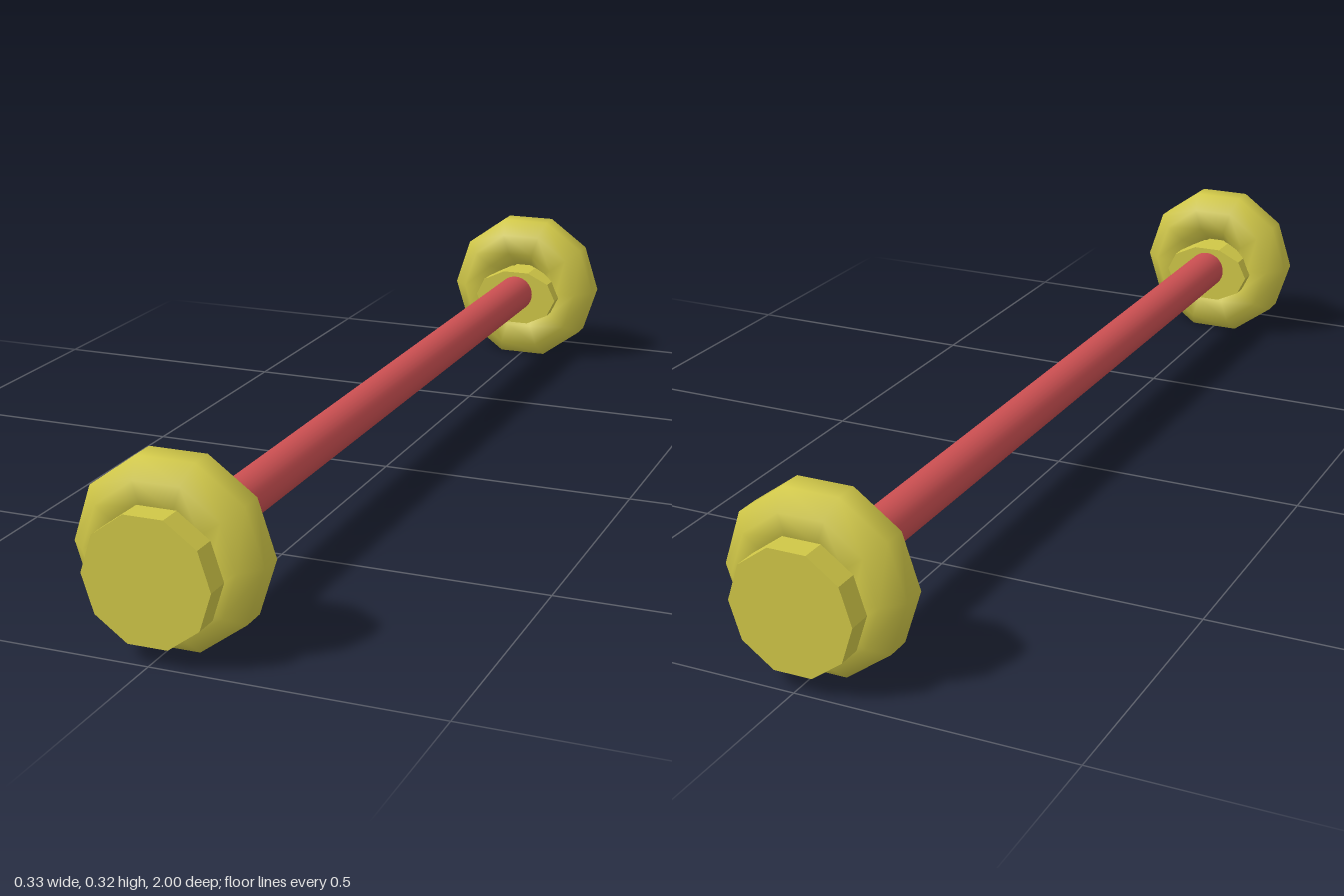
import * as THREE from 'three';

const SIDES = 10;
const AXLE_Y = 0.16;

// Faceted cylinder lying along z, from z0 to z1, with an elliptical section and a corner on +x
function disc(name, material, rx, ry, y, z0, z1) {
  const geometry = new THREE.CylinderGeometry(1, 1, z1 - z0, SIDES, 1, false, Math.PI / 2);
  geometry.rotateX(Math.PI / 2);
  geometry.scale(rx, ry, 1);
  const mesh = new THREE.Mesh(geometry, material);
  mesh.name = name;
  mesh.position.set(0, y, (z0 + z1) / 2);
  return mesh;
}

// Ten-sided ring with an octagonal section, axis along z
function ring(material) {
  const radius = 0.112, apothem = 0.055;
  const corner = apothem / Math.cos(Math.PI / 8);
  const profile = [];
  for (let i = 0; i <= 8; i++) {
    const a = Math.PI + Math.PI / 8 + (i * Math.PI) / 4;
    profile.push(new THREE.Vector2(radius + corner * Math.cos(a), corner * Math.sin(a)));
  }
  const geometry = new THREE.LatheGeometry(profile, SIDES, Math.PI / 2);
  geometry.rotateX(Math.PI / 2);
  const mesh = new THREE.Mesh(geometry, material);
  mesh.name = 'ring';
  mesh.position.set(0, AXLE_Y, 0.9);
  return mesh;
}

export function createModel() {
  const model = new THREE.Group();
  model.name = 'curtainRod';
  const red = new THREE.MeshStandardMaterial({ color: 0xc84e50 });
  const yellow = new THREE.MeshStandardMaterial({ color: 0xcfc647 });
  const flatYellow = new THREE.MeshStandardMaterial({ color: 0xcfc647, flatShading: true });

  // Long round rod
  const rod = new THREE.Mesh(new THREE.CylinderGeometry(0.04, 0.04, 1.76, 32), red);
  rod.name = 'rod';
  rod.rotation.x = Math.PI / 2;
  rod.position.y = AXLE_Y;
  model.add(rod);

  // Matching end knobs: the back one is the front one turned around
  for (const [name, turn] of [['frontKnob', 0], ['backKnob', Math.PI]]) {
    const knob = new THREE.Group();
    knob.name = name;
    knob.add(
      ring(yellow),
      disc('endCap', flatYellow, 0.113, 0.113, 0.142, 0.9, 1),
      disc('collar', flatYellow, 0.095, 0.063, 0.15, 0.815, 0.91)
    );
    knob.rotation.y = turn;
    model.add(knob);
  }
  return model;
}
